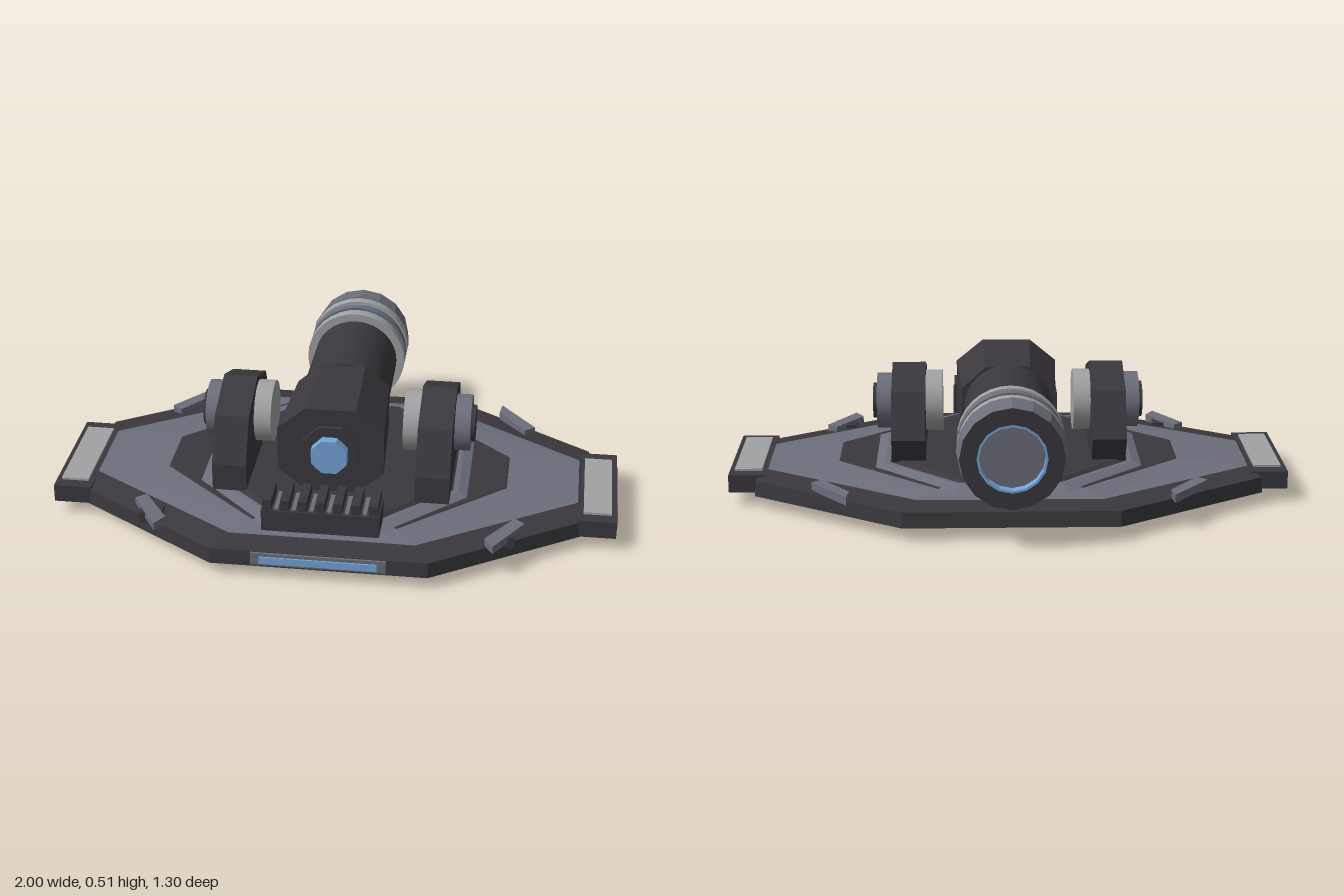
import * as THREE from 'three';

const mat = (name, color) => Object.assign(new THREE.MeshStandardMaterial({ color }), { name });

// Stretched octagon, counter-clockwise from above: half sizes hx, hz and corner positions cx, cz
const octagon = (y, hx, hz, cx, cz) =>
  [[hx, cz], [hx, -cz], [cx, -hz], [-cx, -hz], [-hx, -cz], [-hx, cz], [-cx, hz], [cx, hz]]
    .map(([x, z]) => new THREE.Vector3(x, y, z));

// Faceted solid through a stack of cross-sections, lowest first
function loft(rings) {
  const pos = [];
  const tri = (...pts) => pts.forEach((p) => pos.push(p.x, p.y, p.z));
  const n = rings[0].length;
  for (let r = 0; r < rings.length - 1; r++) {
    const a = rings[r], b = rings[r + 1];
    for (let i = 0; i < n; i++) {
      const j = (i + 1) % n;
      tri(a[i], a[j], b[j]);
      tri(a[i], b[j], b[i]);
    }
  }
  const low = rings[0], high = rings[rings.length - 1];
  for (let i = 1; i < n - 1; i++) {
    tri(low[0], low[i + 1], low[i]);
    tri(high[0], high[i], high[i + 1]);
  }
  const g = new THREE.BufferGeometry();
  g.setAttribute('position', new THREE.Float32BufferAttribute(pos, 3));
  g.computeVertexNormals();
  return g;
}

function faceted(geometry) {
  const g = geometry.toNonIndexed();
  g.computeVertexNormals();
  return g;
}

export function createModel() {
  const dark = mat('charcoal', 0x3a383d);
  const grey = mat('slate grey', 0x6c6e7b);
  const light = mat('light grey', 0xa0a2a3);
  const blue = mat('glow blue', 0x75a6da);

  const model = new THREE.Group();
  model.name = 'turret';
  const add = (name, geometry, material, x = 0, y = 0, z = 0, parent = model) => {
    const m = new THREE.Mesh(geometry, material);
    m.name = name;
    m.position.set(x, y, z);
    parent.add(m);
    return m;
  };
  // Box given by its minimum and maximum on each axis
  const box = (name, material, x0, x1, y0, y1, z0, z1, parent) =>
    add(name, new THREE.BoxGeometry(x1 - x0, y1 - y0, z1 - z0), material,
      (x0 + x1) / 2, (y0 + y1) / 2, (z0 + z1) / 2, parent);

  // Stepped base plates, all centred on z = 0.05
  const CZ = 0.05;
  const plates = [
    ['foot', dark, [[0, 0.63, 0.41, 0.24, 0.16], [0.045, 0.67, 0.425, 0.25, 0.17]]],
    ['basePlate', dark, [[0.045, 0.9, 0.59, 0.37, 0.245], [0.1, 0.895, 0.585, 0.37, 0.243],
      [0.114, 0.86, 0.5, 0.32, 0.15]]],
    ['slopedArmour', grey, [[0.114, 0.86, 0.5, 0.32, 0.15], [0.13, 0.61, 0.43, 0.25, 0.11]]],
    ['deck', dark, [[0.129, 0.61, 0.43, 0.25, 0.11], [0.133, 0.6, 0.425, 0.25, 0.11]]],
    ['turntable', grey, [[0.13, 0.48, 0.475, 0.2, 0.2], [0.146, 0.44, 0.43, 0.18, 0.18]]],
    ['turntableTop', dark, [[0.14, 0.435, 0.42, 0.18, 0.18], [0.156, 0.4, 0.4, 0.17, 0.17]]],
  ];
  for (const [name, material, levels] of plates) {
    add(name, loft(levels.map((l) => octagon(...l))), material, 0, 0, CZ);
  }

  // Light bar on the front edge
  box('frontLightFrame', grey, -0.23, 0.23, 0.052, 0.098, 0.632, 0.643);
  box('frontLight', blue, -0.2, 0.2, 0.06, 0.086, 0.64, 0.648);

  // Side tabs, armour flaps and trunnion brackets, mirrored
  const bracketShape = new THREE.Shape([
    [0.33, 0.15], [0.33, 0.25], [0.25, 0.4], [0.06, 0.465], [-0.11, 0.4], [-0.195, 0.245], [-0.14, 0.15],
  ].map((p) => new THREE.Vector2(...p)));
  const bracketGeo = new THREE.ExtrudeGeometry(bracketShape, { depth: 0.12, bevelEnabled: false });
  bracketGeo.translate(0, 0, -0.06).rotateY(-Math.PI / 2);
  const xRod = (r, len, sides) => new THREE.CylinderGeometry(r, r, len, sides).rotateZ(-Math.PI / 2);
  const flaps = [
    [[0.56, -0.46], [0.553, -0.4], [0.655, -0.27], [0.69, -0.3]],
    [[0.58, 0.55], [0.55, 0.5], [0.645, 0.36], [0.68, 0.39]],
  ];

  for (const s of [1, -1]) {
    const side = new THREE.Group();
    side.name = s > 0 ? 'leftSide' : 'rightSide';
    model.add(side);
    const span = (a, b) => (s > 0 ? [a, b] : [-b, -a]);
    box('sideTab', dark, ...span(0.86, 0.996), 0.047, 0.111, -0.16, 0.315, side);
    box('sideTabPad', light, ...span(0.88, 0.978), 0.111, 0.119, -0.11, 0.27, side);
    box('sideTabEndPlate', grey, ...span(0.994, 1), 0.053, 0.1, -0.09, 0.255, side);
    box('cornerBlock', dark, ...span(0.57, 0.65), 0.08, 0.122, 0.41, 0.475, side);
    for (const pts of flaps) {
      const shape = new THREE.Shape(pts.map(([x, z]) => new THREE.Vector2(s * x, -z)));
      const g = new THREE.ExtrudeGeometry(shape, { depth: 0.03, bevelEnabled: false });
      add('armourFlap', g.rotateX(-Math.PI / 2), grey, 0, 0.1, 0, side);
    }
    add('bracket', bracketGeo, dark, s * 0.355, 0, 0, side);
    add('innerBearing', xRod(0.11, 0.065, 24), light, s * 0.267, 0.325, CZ, side);
    add('outerBearing', xRod(0.1, 0.06, 24), grey, s * 0.44, 0.325, CZ, side);
    add('bearingCap', xRod(0.064, 0.02, 24), dark, s * 0.475, 0.325, CZ, side);
  }

  // Vent block with cooling fins
  box('ventBlock', dark, -0.2, 0.2, 0.155, 0.233, 0.45, 0.585);
  for (let i = 0; i < 7; i++) {
    const x = -0.18 + i * 0.06;
    box('ventFin', dark, x - 0.015, x + 0.015, 0.23, 0.272, 0.455, 0.58);
    if (i < 6) box('ventSlit', grey, x + 0.023, x + 0.037, 0.232, 0.237, 0.46, 0.575);
  }

  // Gun, built along z around its axis
  const gun = new THREE.Group();
  gun.name = 'gun';
  gun.position.y = 0.322;
  model.add(gun);
  const breech = loft([octagon(-0.05, 0.165, 0.152, 0.078, 0.075), octagon(0.312, 0.185, 0.16, 0.088, 0.08)]);
  add('breech', breech.rotateX(Math.PI / 2), dark, 0, 0, 0, gun);

  // Cylinder from z0 (front) back to z1
  const zRod = (name, material, r0, r1, z0, z1, sides = 32) =>
    add(name, new THREE.CylinderGeometry(r0, r1, z0 - z1, sides).rotateX(Math.PI / 2),
      material, 0, 0, (z0 + z1) / 2, gun);
  const facetDisc = (name, material, r, z0, z1) => {
    const g = faceted(new THREE.CylinderGeometry(r, r, z0 - z1, 8).rotateY(Math.PI / 8));
    add(name, g.rotateX(Math.PI / 2), material, 0, 0, (z0 + z1) / 2, gun);
  };
  facetDisc('breechPlate', dark, 0.105, 0.327, 0.3);
  facetDisc('breechLight', blue, 0.067, 0.36, 0.32);
  zRod('barrel', dark, 0.158, 0.154, -0.04, -0.42);
  [
    [light, 0.183, -0.408, -0.442], [blue, 0.175, -0.442, -0.465], [grey, 0.183, -0.465, -0.498],
    [blue, 0.175, -0.498, -0.52], [light, 0.183, -0.52, -0.555],
  ].forEach(([m, r, z0, z1]) => zRod('collarRing', m, r, r, z0, z1));

  // Faceted muzzle with a shallow bore
  const turned = (name, material, pts) => {
    const g = new THREE.LatheGeometry(pts.map((p) => new THREE.Vector2(...p)), 16);
    add(name, faceted(g).rotateX(-Math.PI / 2), material, 0, 0, 0, gun);
  };
  turned('muzzle', grey, [[0.15, 0.558], [0.186, 0.56], [0.175, 0.65]]);
  turned('muzzleFace', dark, [[0.175, 0.65], [0.118, 0.65]]);
  turned('boreRim', blue, [[0.118, 0.65], [0.11, 0.65], [0.11, 0.615]]);
  turned('boreEnd', grey, [[0.11, 0.615], [0, 0.615]]);

  return model;
}
